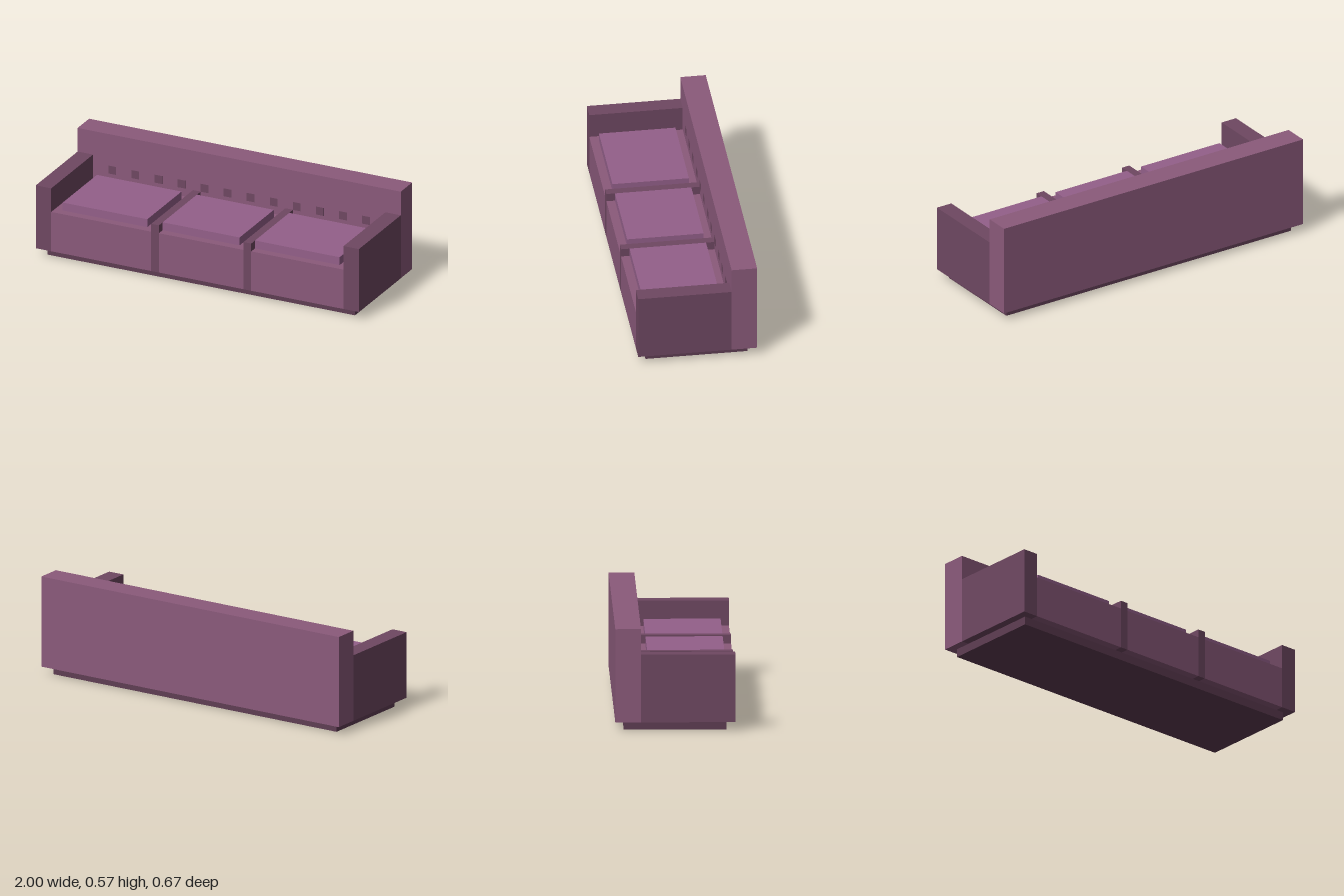
import * as THREE from 'three';

const U = 1 / 21; // block unit: the sofa is 42 x 12 x 14 blocks

export function createModel() {
  const sofa = new THREE.Group();
  sofa.name = 'sofa';

  const mat = (color) => new THREE.MeshStandardMaterial({ color });
  const fabric = mat(0x8b5a7b);
  const cushionFabric = mat(0x94608a);
  const trim = mat(0x6f4862);
  const plinth = mat(0x5f3d53);

  // Box given by its limits in block units
  function block(name, material, [x0, x1], [y0, y1], [z0, z1]) {
    const geometry = new THREE.BoxGeometry((x1 - x0) * U, (y1 - y0) * U, (z1 - z0) * U);
    const mesh = new THREE.Mesh(geometry, material);
    mesh.position.set((x0 + x1) / 2 * U, (y0 + y1) / 2 * U, (z0 + z1) / 2 * U);
    mesh.name = name;
    sofa.add(mesh);
  }

  // Recessed plinth and backrest
  block('base', plinth, [-20, 20], [0, 1], [-6, 6]);
  block('backrest', fabric, [-21, 21], [1, 12], [-7, -4]);

  // Armrests
  block('rightArm', trim, [-21, -19], [1, 9], [-4, 7]);
  block('leftArm', trim, [19, 21], [1, 9], [-4, 7]);

  // Seat sections, parted by raised dividers
  for (const span of [[-19, -6], [-5, 6], [7, 19]]) block('seat', fabric, span, [1, 6], [-4, 7]);
  for (const x of [-6, 6]) block('divider', trim, [x, x + 1], [1, 7], [-4, 7]);

  // Loose cushions
  for (const span of [[-18, -7], [-5, 5], [7, 18]]) block('cushion', cushionFabric, span, [6, 7], [-3, 6]);

  // Row of square buttons, nearly flush with the backrest
  for (let x = -17; x <= 16; x += 3) block('button', trim, [x, x + 1], [7, 8], [-4.5, -3.96]);

  return sofa;
}
